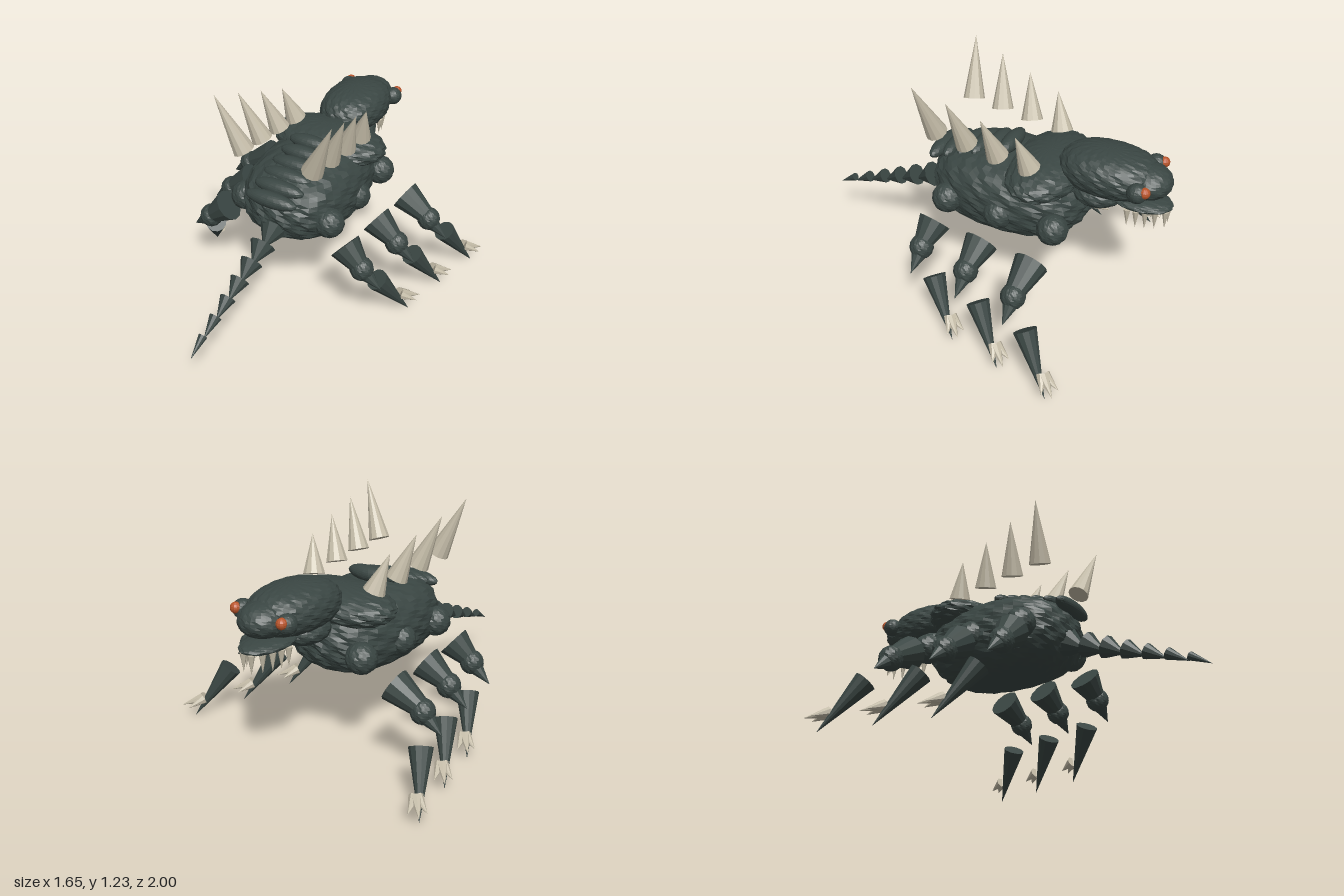
import * as THREE from 'three';

const mat = (name, color) => {
  const m = new THREE.MeshStandardMaterial({ color, flatShading: true });
  m.name = name;
  return m;
};

export function createModel() {
  const model = new THREE.Group();
  model.name = 'spikedBeast';
  const hide = mat('darkHide', 0x3a4643);
  const bone = mat('paleBone', 0xc3bba7);
  const amber = mat('amberEye', 0xb8542a);

  const add = (name, geometry, material, parent = model) => {
    const mesh = new THREE.Mesh(geometry, material);
    mesh.name = name;
    parent.add(mesh);
    return mesh;
  };

  // Ellipsoid with rows of scaly bumps; square > 0 makes it fuller
  const scaly = (name, pos, radii, parent, bump = 0.025, seg = 36, square = 0) => {
    const g = new THREE.SphereGeometry(1, seg, Math.round(seg * 0.7));
    const p = g.attributes.position;
    const v = new THREE.Vector3();
    const waves = Math.round(seg / 3);
    for (let i = 0; i < p.count; i++) {
      v.fromBufferAttribute(p, i);
      const a = Math.atan2(v.z, v.x);
      const t = Math.acos(THREE.MathUtils.clamp(v.y, -1, 1));
      const full = Math.pow(v.x ** 4 + v.y ** 4 + v.z ** 4, -0.25 * square);
      const k = full * (1 + bump * Math.sin(waves * a) * Math.sin(waves * t) * Math.sin(t));
      p.setXYZ(i, v.x * k * radii[0], v.y * k * radii[1], v.z * k * radii[2]);
    }
    g.computeVertexNormals();
    add(name, g, hide, parent).position.set(...pos);
  };

  // Cone or frustum running from point a (radius ra) to point b (radius rb)
  const taper = (name, a, b, ra, rb, material, parent, seg = 12) => {
    const from = new THREE.Vector3(...a), to = new THREE.Vector3(...b);
    const dir = to.clone().sub(from);
    const mesh = add(name, new THREE.CylinderGeometry(rb, ra, dir.length(), seg), material, parent);
    mesh.position.copy(from).add(to).multiplyScalar(0.5);
    mesh.quaternion.setFromUnitVectors(new THREE.Vector3(0, 1, 0), dir.normalize());
  };

  // Trunk and shoulder hump
  scaly('body', [0, 0.62, -0.15], [0.295, 0.215, 0.43], model, 0.025, 48, 0.4);
  scaly('shoulderHump', [0, 0.78, -0.35], [0.33, 0.1, 0.2], model, 0.03, 42);

  // Overlapping ridges along the back
  for (let i = 0; i < 6; i++) {
    scaly('backRidge', [0, 0.735 + i * 0.026, 0.265 - i * 0.08],
      [0.15 - i * 0.005, 0.042, 0.046], model, 0.01, 20);
  }

  // Head, snout and lower jaw
  const head = new THREE.Group();
  head.name = 'head';
  model.add(head);
  scaly('skull', [0, 0.855, -0.665], [0.175, 0.12, 0.255], head, 0.025, 45, 0.25);
  scaly('snout', [0, 0.85, -0.86], [0.12, 0.085, 0.125], head, 0.025, 30);
  scaly('lowerJaw', [0, 0.73, -0.84], [0.105, 0.032, 0.16], head, 0.03, 30);
  scaly('throat', [0, 0.73, -0.62], [0.14, 0.08, 0.14], head, 0.03, 30);

  // Tail of nested cones, each dropping towards the tip
  const tail = new THREE.Group();
  tail.name = 'tail';
  model.add(tail);
  for (let i = 0; i < 7; i++) {
    const z = 0.24 + i * 0.109, y = 0.545 - i * 0.0385;
    taper('tailSegment', [0, y, z], [0, y - 0.064, z + 0.108], 0.08 - i * 0.0095, 0, hide, tail, 10);
  }

  for (const s of [1, -1]) {
    const side = s > 0 ? 'left' : 'right';

    // Eyes and brow sockets
    scaly(side + 'EyeSocket', [s * 0.145, 0.86, -0.855], [0.048, 0.05, 0.05], head, 0.03, 18);
    add(side + 'Eye', new THREE.SphereGeometry(0.028, 12, 8), amber, head)
      .position.set(s * 0.15, 0.876, -0.893);

    // Fangs hanging from the jaw
    for (let i = 0; i < 5; i++) {
      const z = -0.8 - i * 0.043, x = s * (0.09 - i * i * 0.004);
      taper('tooth', [x, 0.715, z], [x, 0.618, z - 0.005], 0.018, 0, bone, head, 8);
    }

    // Back spikes, tallest at the rear
    for (let i = 0; i < 4; i++) {
      const z = 0.195 - i * 0.173, y = 0.93 - i * 0.02;
      taper(side + 'BackSpike', [s * 0.2, y, z],
        [s * (0.33 - i * 0.025), 1.235 - i * 0.058, z + 0.055], 0.058, 0, bone, model, 12);
    }

    // Three jointed legs, rear to front
    for (let i = 0; i < 3; i++) {
      const leg = new THREE.Group();
      leg.name = side + ['Rear', 'Middle', 'Front'][i] + 'Leg';
      model.add(leg);
      const z = -i * 0.292;
      const hip = s * (0.36 + i * 0.035), knee = s * (0.47 + i * 0.06);
      const foot = s * (0.64 + i * 0.07);

      scaly('hipJoint', [s * 0.255, 0.59, z + 0.11 - i * 0.005], [0.08, 0.08, 0.08], leg, 0.04, 24);
      taper('upperLeg', [hip, 0.495, z + 0.13], [knee - s * 0.015, 0.415, z + 0.147], 0.088, 0.05, hide, leg);
      scaly('knee', [knee, 0.4, z + 0.147], [0.062, 0.065, 0.062], leg, 0.04, 24);
      taper('kneeSpike', [knee + s * 0.02, 0.38, z + 0.147], [knee + s * 0.115, 0.305, z + 0.148], 0.045, 0, hide, leg, 10);
      taper('lowerLeg', [foot - s * 0.125, 0.277, z + 0.05], [foot, 0.008, z - 0.12], 0.06, 0, hide, leg);

      // Claws: a middle one with one splayed each way
      for (const [dx, dz] of [[0.04, -0.055], [0.045, 0.0], [-0.02, -0.06]]) {
        taper('claw', [foot - s * 0.045 + s * dx * 0.15, 0.115, z - 0.085 + dz * 0.15],
          [foot + s * dx, 0.08, z - 0.12 + dz], 0.03, 0, bone, leg, 8);
      }
    }
  }
  return model;
}
